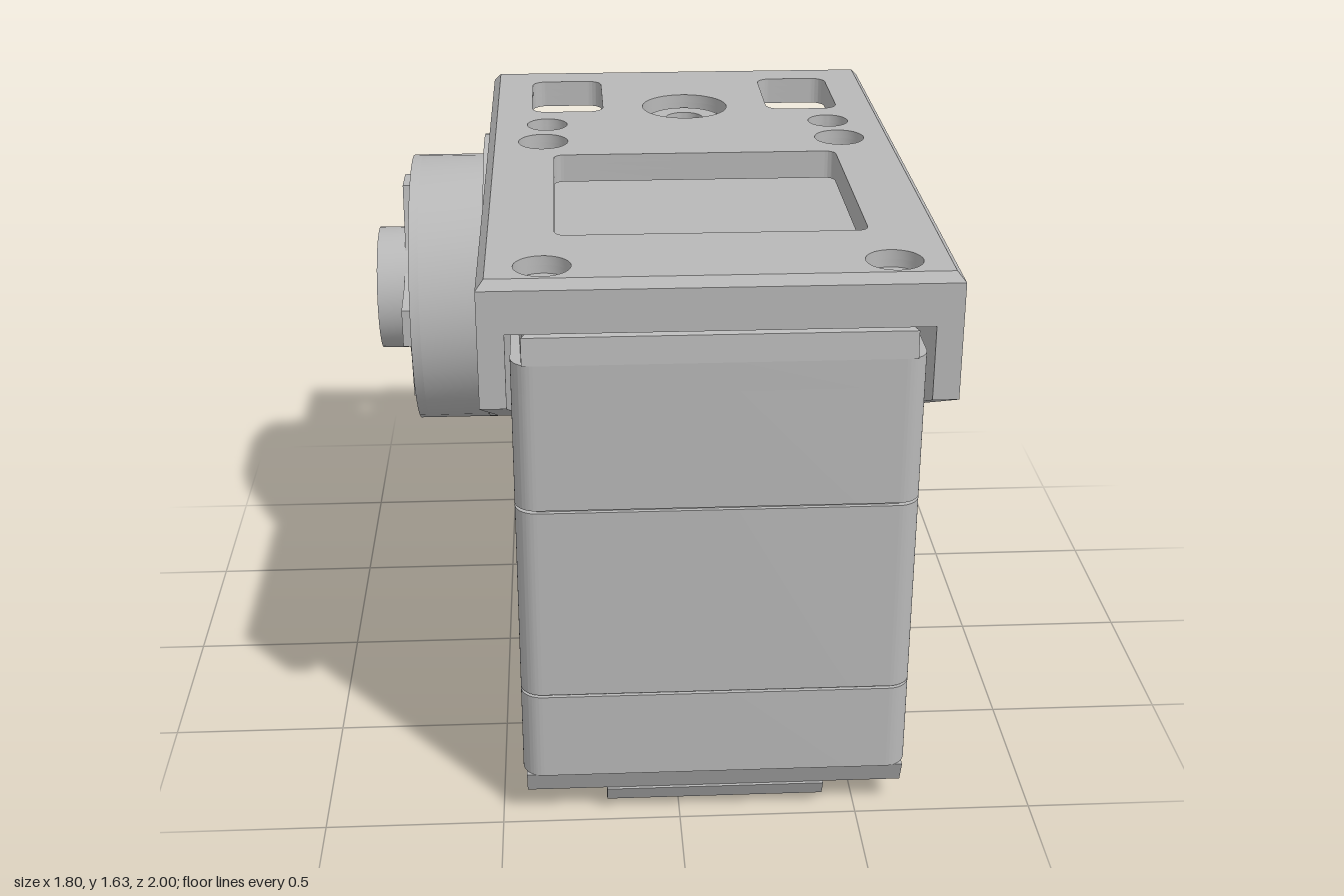
import * as THREE from 'three';
import { toCreasedNormals } from 'three/addons/utils/BufferGeometryUtils.js';

const grey = new THREE.MeshStandardMaterial({ color: 0xb8b8b8 });
grey.name = 'plain grey';
const CX = 0.1, AY = 1.03, AZ = -0.555, R = 0.435; // body centre line, pivot axis, ear radius

const circle = (x, y, r) => new THREE.Path().absarc(x, y, r, 0, Math.PI * 2, true);
const poly = (pts) => new THREE.Shape(pts.map(([x, y]) => new THREE.Vector2(x, y)));

// Rectangle with separate corner radii for the low-b and high-b ends
function roundRect(a0, a1, b0, b1, r0, r1 = r0, Type = THREE.Shape) {
  const s = new Type();
  s.moveTo(a0 + r0, b0);
  s.lineTo(a1 - r0, b0);
  s.absarc(a1 - r0, b0 + r0, r0, -Math.PI / 2, 0, false);
  s.absarc(a1 - r1, b1 - r1, r1, 0, Math.PI / 2, false);
  s.absarc(a0 + r1, b1 - r1, r1, Math.PI / 2, Math.PI, false);
  s.absarc(a0 + r0, b0 + r0, r0, Math.PI, Math.PI * 1.5, false);
  return s;
}

export function createModel() {
  const model = new THREE.Group();

  function add(name, geometry) {
    const mesh = new THREE.Mesh(toCreasedNormals(geometry, 0.6), grey);
    mesh.name = name;
    model.add(mesh);
    return mesh;
  }
  const extrude = (shape, depth) =>
    new THREE.ExtrudeGeometry(shape, { depth, bevelEnabled: false, curveSegments: 20 });
  // Plan shapes are drawn in (x, -z) and raised along y
  const slab = (shape, y0, y1) => extrude(shape, y1 - y0).rotateX(-Math.PI / 2).translate(0, y0, 0);
  // Side shapes are drawn in (-z, y) and extruded along x
  const sideSlab = (shape, x0, x1) => extrude(shape, x1 - x0).rotateY(Math.PI / 2).translate(x0, 0, 0);
  function reshape(geometry, rule) {
    const p = geometry.attributes.position, v = new THREE.Vector3();
    for (let i = 0; i < p.count; i++) {
      rule(v.fromBufferAttribute(p, i));
      p.setXYZ(i, v.x, v.y, v.z);
    }
    return geometry;
  }

  // Bracket top: layers with windows and counterbored screw holes
  function topShape(screwR, pivotR) {
    const s = poly([[-0.52, -1], [0.72, -1], [0.72, 1], [-0.52, 1]]);
    s.holes.push(roundRect(-0.32, 0.52, -0.66, 0.05, 0.03, 0.03, THREE.Path));
    s.holes.push(circle(CX, -AZ, pivotR));
    for (const side of [-1, 1]) {
      const x = CX + side * 0.375;
      s.holes.push(roundRect(x - 0.113, x + 0.113, 0.51, 0.87, 0.045, 0.045, THREE.Path));
      s.holes.push(circle(CX + side * 0.44, 0.37, 0.062));
      for (const z of [-0.19, 0.89]) s.holes.push(circle(CX + side * 0.452, -z, screwR));
    }
    return s;
  }
  add('bracketTopEdge', reshape(slab(topShape(0.075, 0.135), 1.608, 1.633), (v) => {
    if (v.y < 1.62) return;
    if (Math.abs(v.x - CX) > 0.61) v.x -= Math.sign(v.x - CX) * 0.022;
    if (Math.abs(v.z) > 0.99) v.z -= Math.sign(v.z) * 0.022;
  }));
  add('bracketTop', slab(topShape(0.075, 0.135), 1.585, 1.608));
  add('bracketUnderside', slab(topShape(0.042, 0.06), 1.55, 1.585));
  add('pivotRecessRing', slab((() => {
    const s = new THREE.Shape().absarc(CX, -AZ, 0.115, 0, Math.PI * 2);
    s.holes.push(circle(CX, -AZ, 0.06));
    return s;
  })(), 1.585, 1.595));
  add('bracketFrontLip', new THREE.BoxGeometry(1.24, 0.06, 0.08).translate(CX, 1.52, 0.96));

  // Bracket ears: sloping lower edge running into a round end
  function ear() {
    const s = new THREE.Shape();
    s.moveTo(-1, 1.608);
    s.lineTo(-1, 1.285);
    s.absarc(-AZ, AY, R, -Math.PI / 2 - 0.436, 0, false);
    s.lineTo(1, 1.1);
    s.lineTo(1, 1.608);
    s.holes.push(circle(-AZ, AY, 0.13));
    return s;
  }
  add('rightEar', sideSlab(ear(), 0.65, 0.72));
  add('leftEar', sideSlab(ear(), -0.52, -0.45));

  // Left flange: round plate trimmed to the ear outline
  const flange = [], normal = -Math.PI / 2 - 0.436;
  for (let i = 0; i < 96; i++) {
    const t = (i / 96) * Math.PI * 2 - Math.PI;
    let r = 0.5;
    if (t >= normal && t <= 0) r = R;
    else {
      const toLine = Math.cos(t - normal), toBack = Math.cos(t);
      if (toLine > 0) r = Math.min(r, R / toLine);
      if (toBack > 0) r = Math.min(r, R / toBack);
    }
    flange.push([-AZ + r * Math.cos(t), AY + r * Math.sin(t)]);
  }
  add('leftFlange', sideSlab(poly(flange), -0.545, -0.52));

  // Pivot parts along the x axis
  function ring(name, x0, x1, r, hole) {
    const s = new THREE.Shape().absarc(-AZ, AY, r, 0, Math.PI * 2);
    if (hole) s.holes.push(circle(-AZ, AY, hole));
    return add(name, sideSlab(s, x0, x1));
  }
  ring('rightPivotBoss', 0.72, 0.9, 0.213, 0.13);
  ring('leftDrum', -0.75, -0.545, R);
  ring('leftDrumRim', -0.78, -0.75, R, 0.375);
  ring('leftHub', -0.9, -0.75, 0.2, 0.13);
  // Four tapered horn arms
  const arms = [];
  for (let k = 0; k < 4; k++) {
    const a = (k * Math.PI) / 2, c = Math.cos(a), s = Math.sin(a);
    for (const [u, v] of [[0.13, -0.13], [0.21, -0.085], [0.37, -0.06], [0.37, 0.06], [0.21, 0.085]])
      arms.push([-AZ + u * c - v * s, AY + u * s + v * c]);
  }
  const horn = poly(arms);
  horn.holes.push(circle(-AZ, AY, 0.13));
  add('hornArms', sideSlab(horn, -0.81, -0.75));

  // Actuator case: three stacked shells with narrow seams
  const plan = (inset = 0) =>
    roundRect(-0.44 + inset, 0.64 - inset, -0.995 + inset, 0.993 - inset, 0.06, 0.11);
  add('caseCore', slab(plan(0.012), 0.2, 1.3));
  add('lowerCase', slab(plan(), 0.15, 0.407));
  add('middleCase', slab(plan(), 0.415, 0.977));
  add('upperCase', slab(plan(), 0.985, 1.32));
  // Top layer with a cable notch at the back
  const cap = new THREE.Shape();
  cap.moveTo(-0.38, -0.995);
  cap.lineTo(0.58, -0.995);
  cap.absarc(0.58, -0.935, 0.06, -Math.PI / 2, 0, false);
  for (const [x, y] of [[0.64, 0.88], [0.53, 0.993], [0.15, 0.993], [0.15, 0.9], [0.05, 0.9], [0.05, 0.993],
    [-0.33, 0.993], [-0.44, 0.88]]) cap.lineTo(x, y);
  cap.absarc(-0.38, -0.935, 0.06, Math.PI, Math.PI * 1.5, false);
  add('caseTop', slab(cap, 1.32, 1.4));
  // Raised front of the case with a ramp, rounded on its outer edges
  const raised = poly([[-0.995, 1.4], [-0.16, 1.4], [-0.32, 1.49], [-0.965, 1.49], [-0.988, 1.475]]);
  add('caseRaisedFront', reshape(sideSlab(raised, -0.44, 0.64), (v) => {
    if (v.y > 1.48) v.x -= Math.sign(v.x - CX) * 0.025;
    if (v.z > 0.9) v.x -= Math.sign(v.x - CX) * 0.03;
  }));
  add('topLabel', new THREE.BoxGeometry(0.5, 0.006, 0.2).translate(CX, 1.492, 0.5));

  // Base cover with screw lobes and a concave end around the output shaft
  const base = new THREE.Shape();
  base.moveTo(-0.43, -0.99);
  for (const [x, y] of [[0.63, -0.99], [0.63, -0.8], [0.56, -0.73], [0.56, 0.12], [0.63, 0.18], [0.63, 0.31]])
    base.lineTo(x, y);
  const arcAngle = Math.asin(0.245 / 0.36);
  base.absarc(CX, -AZ, 0.36, -arcAngle, -Math.PI + arcAngle, true);
  for (const [x, y] of [[-0.43, 0.31], [-0.43, 0.18], [-0.36, 0.12], [-0.36, -0.73], [-0.43, -0.8]])
    base.lineTo(x, y);
  add('baseCover', reshape(slab(base, 0.08, 0.15), (v) => {
    if (v.y > 0.1) return;
    if (v.z > 0.95) v.z -= 0.03;
    if (v.z < -0.3) v.z += 0.03;
  }));
  const keel = poly([[-0.97, 0.08], [-0.945, 0.03], [0.135, 0.03], [0.155, 0.08]]);
  add('baseKeel', sideSlab(keel, -0.205, 0.41));
  add('baseLabel', new THREE.BoxGeometry(0.46, 0.006, 0.62).translate(CX, 0.029, 0.46));
  for (const side of [-1, 1]) for (const z of [-0.22, 0.87]) {
    const s = new THREE.Shape().absarc(CX + side * 0.45, -z, 0.045, 0, Math.PI * 2);
    s.holes.push(circle(CX + side * 0.45, -z, 0.022));
    add('baseScrew', slab(s, 0.07, 0.08));
  }

  // Splined output shaft with a hollow end
  const teeth = [];
  for (let i = 0; i < 96; i++) {
    const a = (i / 96) * Math.PI * 2, r = i % 4 < 2 ? 0.132 : 0.116;
    teeth.push([CX + r * Math.cos(a), -AZ + r * Math.sin(a)]);
  }
  const spline = poly(teeth);
  spline.holes.push(circle(CX, -AZ, 0.07));
  add('outputShaft', reshape(slab(spline, 0, 0.02), (v) => {
    if (v.y > 0.01) return;
    v.x = CX + (v.x - CX) * 0.9;
    v.z = AZ + (v.z - AZ) * 0.9;
  }));
  add('outputShaftBody', slab(spline, 0.02, 0.15));
  add('outputShaftCore', new THREE.CylinderGeometry(0.075, 0.075, 0.1, 24).translate(CX, 0.11, AZ));
  return model;
}
